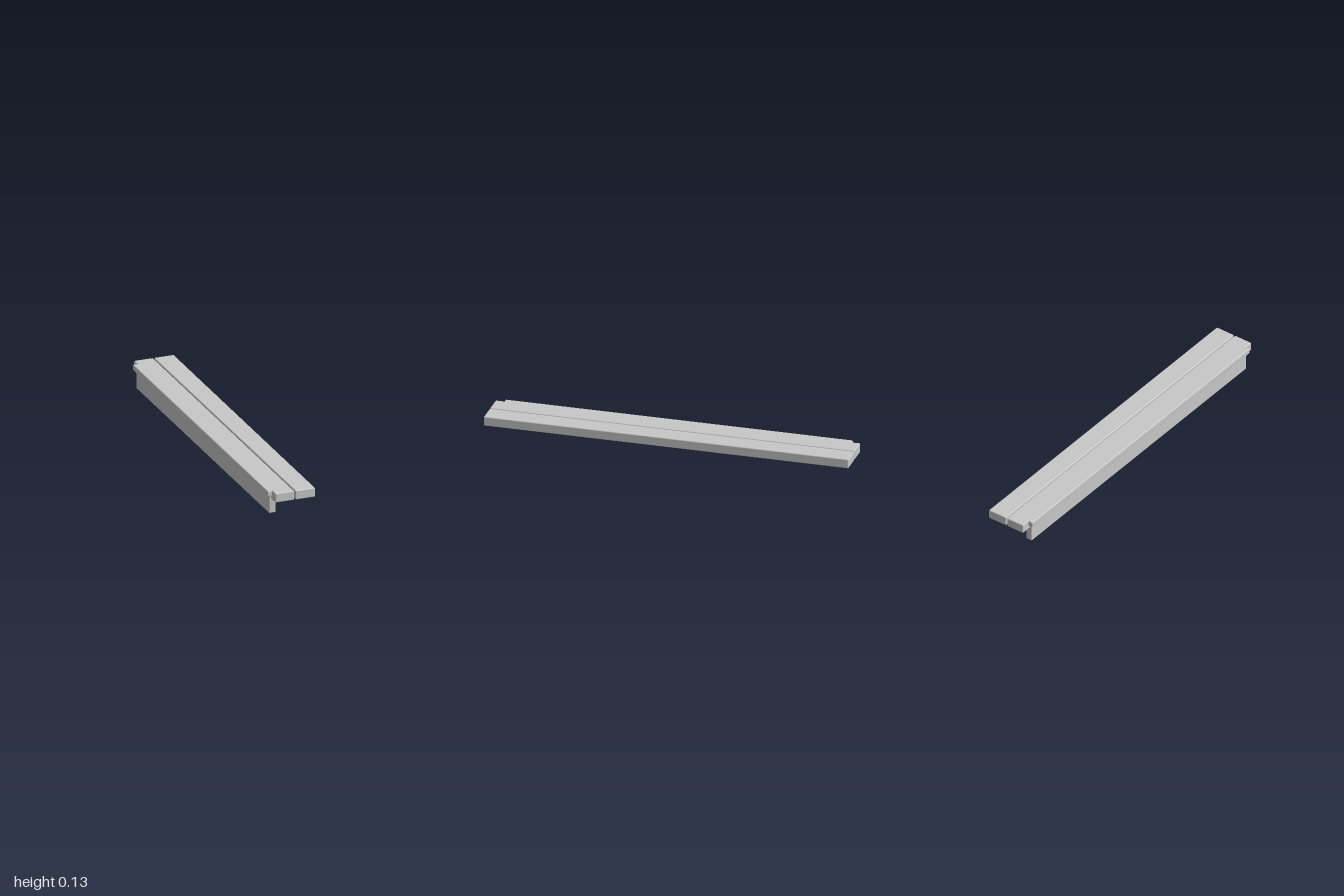
import * as THREE from 'three';
import { RoundedBoxGeometry } from 'three/addons/geometries/RoundedBoxGeometry.js';

export function createModel() {
  const model = new THREE.Group();
  model.name = 'stairTread';
  const grey = new THREE.MeshStandardMaterial({ color: 0xc8c8c8 });
  grey.name = 'light grey';

  // Rounded plank spanning x0..x1 and y0..y1, with the given length along z
  function plank(name, x0, x1, y0, y1, length, radius) {
    const geometry = new RoundedBoxGeometry(x1 - x0, y1 - y0, length, 3, radius);
    const mesh = new THREE.Mesh(geometry, grey);
    mesh.position.set((x0 + x1) / 2, (y0 + y1) / 2, 0);
    mesh.name = name;
    model.add(mesh);
  }

  // Two deck boards with a narrow gap
  plank('rearBoard', 0.005, 0.118, 0.08, 0.133, 2.01, 0.006);
  plank('frontBoard', -0.109, -0.002, 0.08, 0.133, 2.01, 0.006);

  // Overhanging lip, short of both ends so that it leaves notches
  plank('nosingLip', -0.135, -0.09, 0.1, 0.133, 1.914, 0.006);

  // Upright board beneath the lip
  plank('riser', -0.121, -0.083, 0, 0.103, 1.89, 0.005);

  // The whole tread lies askew
  model.rotation.y = 0.2745;
  return model;
}
